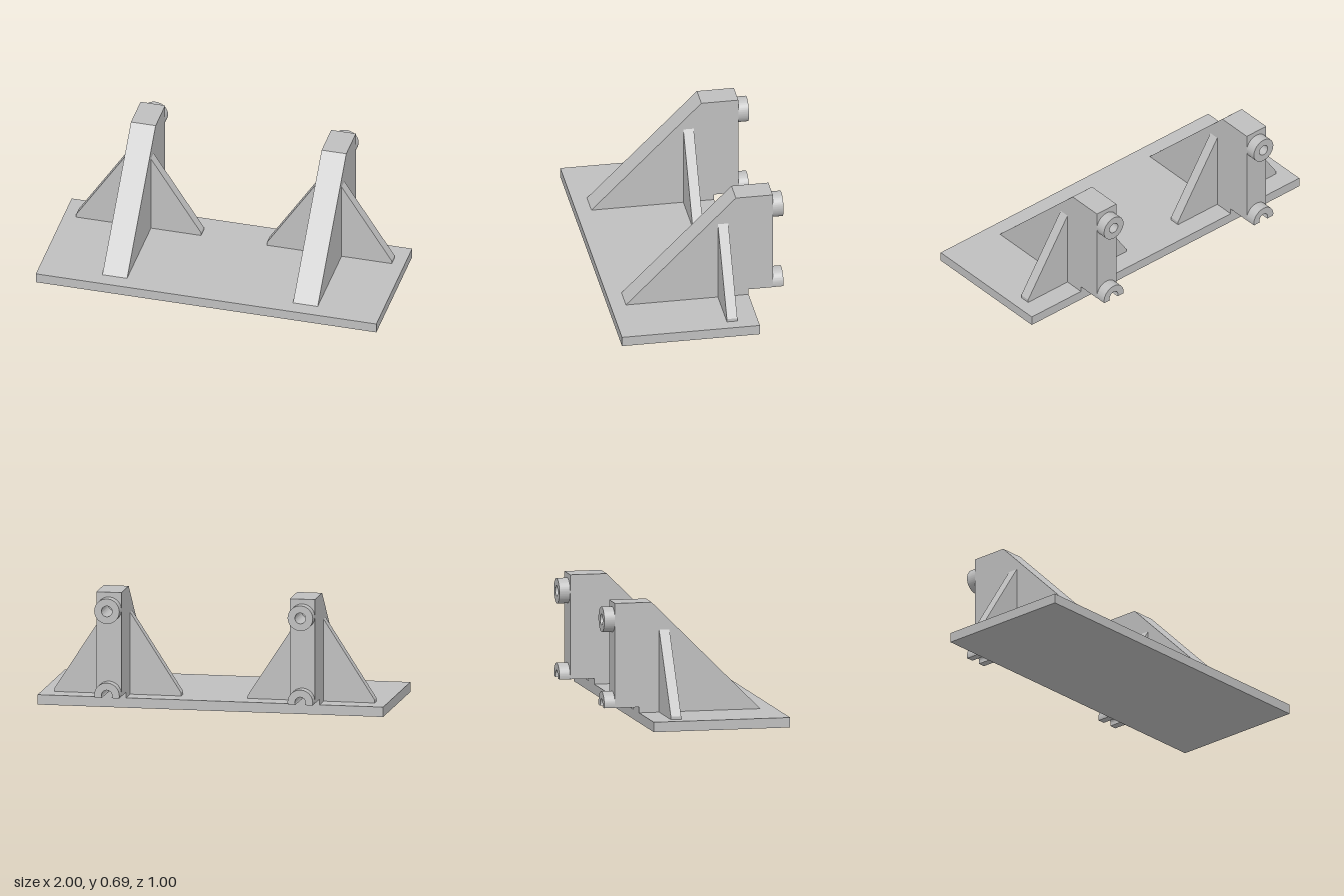
import * as THREE from 'three';
import { toCreasedNormals } from 'three/addons/utils/BufferGeometryUtils.js';

const W = 0.145, R = W / 2, BORE = 0.031;   // web width, boss radius, bore radius
const TOP_Y = 0.59, LOW_Y = 0.104, CUT_Y = 0.09, BASE_Y = 0.057;
const WEB_BACK = -0.435, BOSS_BACK = -0.497, PLATE_BACK = -0.295;

const polygon = (pts) => new THREE.Shape(pts.map(([x, y]) => new THREE.Vector2(x, y)));

// Extrude an x-y shape between two z values, smoothing only the curved walls
function extrudeZ(shape, z0, z1) {
  const geo = new THREE.ExtrudeGeometry(shape, { depth: z1 - z0, bevelEnabled: false, curveSegments: 40 });
  geo.translate(0, 0, z0);
  return toCreasedNormals(geo, 0.5);
}

export function createModel() {
  const model = new THREE.Group();
  model.name = 'mountingBracket';
  const steel = new THREE.MeshStandardMaterial({ color: 0xbfbfbf });
  steel.name = 'steelGrey';

  const add = (parent, name, geo) => {
    const mesh = new THREE.Mesh(geo, steel);
    mesh.name = name;
    parent.add(mesh);
  };

  // Base plate
  const depth = 0.5 - PLATE_BACK;
  add(model, 'basePlate', new THREE.BoxGeometry(2, BASE_Y, depth)
    .translate(0, BASE_Y / 2, PLATE_BACK + depth / 2));

  // Sloped front of the web, drawn in z-y and extruded across x
  const slope = polygon([[0.412, BASE_Y], [-0.222, 0.69], [PLATE_BACK, 0.69], [PLATE_BACK, BASE_Y]]);
  const webGeo = extrudeZ(slope, -R, R).rotateY(-Math.PI / 2);

  // Rear of the web, with a blind bore above and an open groove below
  const drop = CUT_Y - LOW_Y;
  const a = Math.asin(drop / R), b = Math.asin(drop / BORE);
  const rear = new THREE.Shape();
  rear.moveTo(R, CUT_Y);
  rear.lineTo(R, 0.69);
  rear.lineTo(-R, 0.69);
  rear.lineTo(-R, CUT_Y);
  rear.absarc(0, LOW_Y, BORE, Math.PI - b, b, true);
  rear.closePath();
  const bore = new THREE.Path().absarc(0, TOP_Y, BORE, 0, Math.PI * 2, true);
  rear.holes.push(bore);
  const rearGeo = extrudeZ(rear, WEB_BACK, PLATE_BACK);

  // Full upper boss ring
  const ring = new THREE.Shape();
  ring.absarc(0, TOP_Y, R, 0, Math.PI * 2, false);
  ring.holes.push(bore);
  const upperGeo = extrudeZ(ring, BOSS_BACK, WEB_BACK);

  // Lower boss ring, cut off flat underneath
  const arch = new THREE.Shape();
  arch.absarc(0, LOW_Y, R, a, Math.PI - a, false);
  arch.absarc(0, LOW_Y, BORE, Math.PI - b, b, true);
  arch.closePath();
  const lowerGeo = extrudeZ(arch, BOSS_BACK, WEB_BACK);

  // Triangular side gussets
  const rib = [[R, BASE_Y], [0.367, BASE_Y], [0.367, 0.075], [R, 0.53]];
  const gussetGeo = (side) => extrudeZ(polygon(rib.map(([x, y]) => [side * x, y])), -0.178, -0.118);

  for (const side of [-1, 1]) {
    const support = new THREE.Group();
    support.name = side > 0 ? 'leftSupport' : 'rightSupport';
    support.position.x = side * 0.56;
    add(support, 'slopedWeb', webGeo);
    add(support, 'rearWeb', rearGeo);
    add(support, 'upperBoss', upperGeo);
    add(support, 'lowerBoss', lowerGeo);
    add(support, 'leftGusset', gussetGeo(1));
    add(support, 'rightGusset', gussetGeo(-1));
    model.add(support);
  }
  return model;
}
